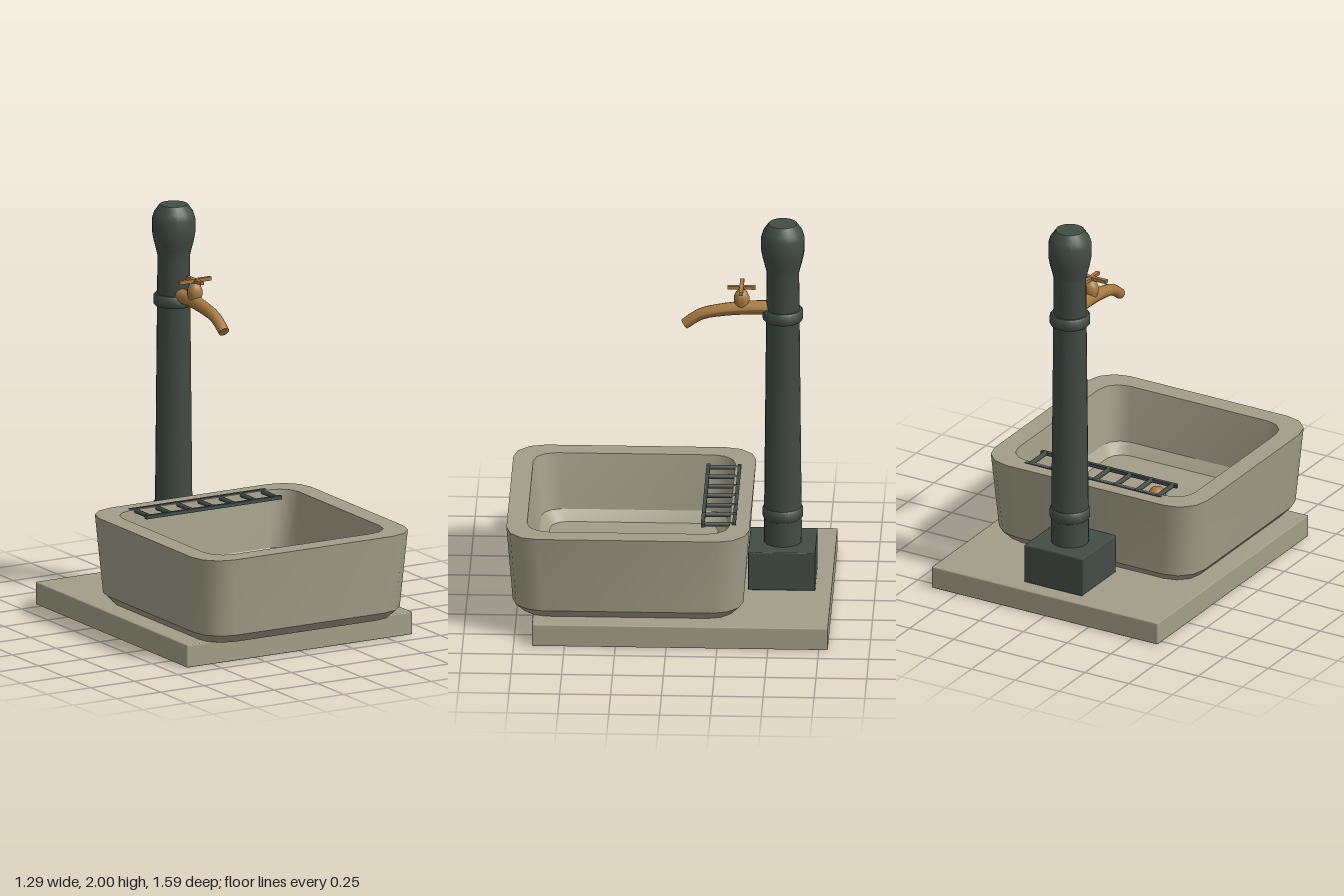
import * as THREE from 'three';
import { toCreasedNormals } from 'three/addons/utils/BufferGeometryUtils.js';
import { RoundedBoxGeometry } from 'three/addons/geometries/RoundedBoxGeometry.js';

const stone = new THREE.MeshStandardMaterial({ color: 0xa39e89 });
const iron = new THREE.MeshStandardMaterial({ color: 0x434c46 });
const brass = new THREE.MeshStandardMaterial({ color: 0xa87a42 });

function add(parent, name, geometry, material, x = 0, y = 0, z = 0) {
  const mesh = new THREE.Mesh(geometry, material);
  mesh.name = name;
  mesh.position.set(x, y, z);
  parent.add(mesh);
  return mesh;
}

function lathe(points, sides, crease = 0.6) {
  const profile = points.map(([r, y]) => new THREE.Vector2(r, y));
  return toCreasedNormals(new THREE.LatheGeometry(profile, sides), crease);
}

// Rounded-rectangle rings [halfWidth, halfDepth, cornerRadius, y] joined in order
function loftRings(rings, cornerSegments) {
  const positions = [], index = [];
  const n = 4 * (cornerSegments + 1);
  for (const [w, d, r, y] of rings) {
    for (let c = 0; c < 4; c++) {
      const sx = c === 0 || c === 3 ? 1 : -1, sz = c < 2 ? 1 : -1;
      for (let s = 0; s <= cornerSegments; s++) {
        const a = (c + s / cornerSegments) * Math.PI / 2;
        positions.push(sx * (w - r) + r * Math.cos(a), y, sz * (d - r) + r * Math.sin(a));
      }
    }
  }
  for (let i = 0; i < rings.length - 1; i++) {
    for (let j = 0; j < n; j++) {
      const a = i * n + j, b = i * n + (j + 1) % n;
      index.push(a, a + n, b, a + n, b + n, b);
    }
  }
  const g = new THREE.BufferGeometry();
  g.setAttribute('position', new THREE.Float32BufferAttribute(positions, 3));
  g.setIndex(index);
  return toCreasedNormals(g, 0.54);
}

// Tube along a curve whose radius narrows from r0 to r1, closed at the mouth
function taperedSpout(curve, segments, sides, r0, r1) {
  const g = new THREE.TubeGeometry(curve, segments, 1, sides);
  const p = g.attributes.position, v = new THREE.Vector3();
  for (let i = 0; i < p.count; i++) {
    const t = Math.floor(i / (sides + 1)) / segments;
    const centre = curve.getPointAt(t);
    v.fromBufferAttribute(p, i).sub(centre).multiplyScalar(r0 + (r1 - r0) * t).add(centre);
    p.setXYZ(i, v.x, v.y, v.z);
  }
  g.computeVertexNormals();
  return g;
}

export function createModel() {
  const model = new THREE.Group();
  model.name = 'waterTrough';

  // Ground slab
  add(model, 'slab', new RoundedBoxGeometry(1.29, 0.115, 1.455, 1, 0.006), stone, 0, 0.0575, -0.0675);

  // Hollow basin: underside, outer wall, rim, inner wall, floor
  add(model, 'basin', loftRings([
    [0, 0, 0, 0.115],
    [0.535, 0.525, 0.13, 0.115],
    [0.575, 0.567, 0.15, 0.16],
    [0.606, 0.597, 0.155, 0.552],
    [0.505, 0.497, 0.11, 0.552],
    [0.467, 0.457, 0.1, 0.27],
    [0.425, 0.413, 0.085, 0.22],
    [0, 0, 0, 0.22],
  ], 3), stone, 0, 0, 0.195);
  add(model, 'drainPlug', new THREE.SphereGeometry(0.044, 16, 10), brass, 0, 0.22, 0.29);

  // Rest grate along the back of the basin
  const grate = new THREE.Group();
  grate.name = 'grate';
  grate.position.set(0, 0.546, -0.247);
  model.add(grate);
  for (const z of [-0.077, 0.077]) {
    add(grate, 'grateRail', new THREE.BoxGeometry(0.775, 0.018, 0.018), iron, 0, 0, z);
  }
  for (let i = -3; i <= 3; i++) {
    const rung = add(grate, 'grateRung', new THREE.CylinderGeometry(0.012, 0.012, 0.165, 8), iron, i * 0.121);
    rung.rotation.x = Math.PI / 2;
  }

  // Standing pipe on its plinth
  const pump = new THREE.Group();
  pump.name = 'standpipe';
  pump.position.z = -0.55;
  model.add(pump);
  add(pump, 'plinth', new RoundedBoxGeometry(0.33, 0.2, 0.33, 1, 0.005), iron, 0, 0.215, 0);
  add(pump, 'pipe', lathe([
    [0.094, 0.3], [0.08, 1.74], [0.087, 1.77], [0.1, 1.82], [0.107, 1.86],
    [0.107, 1.93], [0.097, 1.962], [0.07, 2], [0, 2],
  ], 20), iron);
  for (const y of [0.47, 1.52]) {
    add(pump, 'collar', lathe([
      [0.075, -0.03], [0.092, -0.03], [0.1, -0.02], [0.1, 0.02], [0.092, 0.03], [0.075, 0.03],
    ], 20, 0.9), iron, 0, y, 0);
  }

  // Tap with bent spout, valve and cross handle
  const tap = new THREE.Group();
  tap.name = 'tap';
  model.add(tap);
  const path = new THREE.CatmullRomCurve3([
    [1.552, -0.49], [1.55, -0.38], [1.538, -0.26], [1.512, -0.145], [1.458, -0.067],
  ].map(([y, z]) => new THREE.Vector3(0, y, z)));
  add(tap, 'spout', taperedSpout(path, 10, 12, 0.037, 0.027), brass);
  const mouth = add(tap, 'spoutMouth', new THREE.CircleGeometry(0.027, 12), brass);
  mouth.position.copy(path.getPointAt(1));
  mouth.lookAt(path.getPointAt(1).add(path.getTangentAt(1)));
  add(tap, 'valve', lathe([
    [0.02, 1.52], [0.03, 1.56], [0.038, 1.585], [0.038, 1.61], [0.03, 1.63], [0.014, 1.645], [0.014, 1.665], [0, 1.665],
  ], 14), brass, 0, 0, -0.347);
  add(tap, 'handleBar', new THREE.BoxGeometry(0.18, 0.018, 0.02), brass, 0, 1.657, -0.347);
  add(tap, 'handleCrossBar', new THREE.BoxGeometry(0.02, 0.016, 0.138), brass, 0, 1.657, -0.347);

  return model;
}
